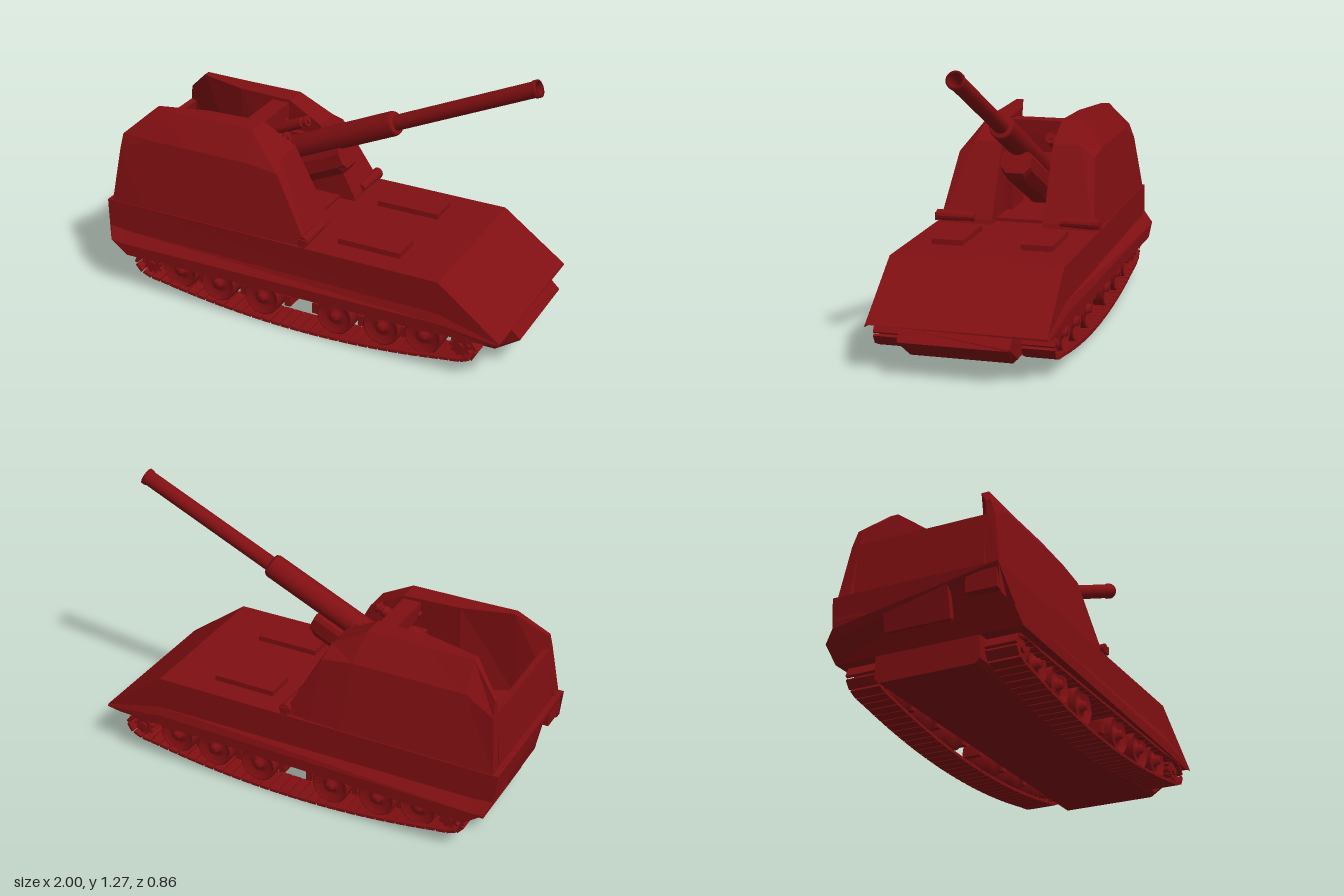
import * as THREE from 'three';

const paint = new THREE.MeshStandardMaterial({ color: 0x800f12, flatShading: true });
const smooth = new THREE.MeshStandardMaterial({ color: 0x800f12 });

function add(parent, name, geometry, x = 0, y = 0, z = 0, material = paint) {
  const mesh = new THREE.Mesh(geometry, material);
  mesh.name = name;
  mesh.position.set(x, y, z);
  parent.add(mesh);
  return mesh;
}
const box = (w, h, d) => new THREE.BoxGeometry(w, h, d);

// Skins closed rings of [x, y, z] points that advance along +x, with both ends capped.
function loft(rings) {
  const pos = [], n = rings[0].length, last = rings.length - 1;
  const tri = (...p) => p.forEach(v => pos.push(...v));
  for (let i = 0; i < last; i++) for (let j = 0; j < n; j++) {
    const k = (j + 1) % n, a = rings[i], b = rings[i + 1];
    tri(a[j], a[k], b[k]);
    tri(a[j], b[k], b[j]);
  }
  for (let j = 1; j < n - 1; j++) {
    tri(rings[0][0], rings[0][j + 1], rings[0][j]);
    tri(rings[last][0], rings[last][j], rings[last][j + 1]);
  }
  const g = new THREE.BufferGeometry();
  g.setAttribute('position', new THREE.Float32BufferAttribute(pos, 3));
  g.computeVertexNormals();
  return g;
}

// Half section listed from the top down on +z, mirrored to a full ring.
const mirrorRing = half => [...half, ...half.map(([x, y, z]) => [x, y, -z]).reverse()];

// Cylinder or turned profile of [radius, distance] lying along +x.
function turnedX(profile, sides = 20) {
  return new THREE.LatheGeometry(profile.map(p => new THREE.Vector2(...p)), sides).rotateZ(-Math.PI / 2);
}
const rod = (r, a, b, sides) => turnedX([[0, a], [r, a], [r, b], [0, b]], sides);

function buildHull(parent) {
  add(parent, 'upperHull', loft([
    [[-1, 0.43, 0.38], [-0.985, 0.30, 0.385], [-0.96, 0.25, 0.43], [-0.88, 0.19, 0.43]],
    [[-0.9, 0.43, 0.38], [-0.9, 0.29, 0.385], [-0.9, 0.245, 0.43], [-0.87, 0.19, 0.43]],
    [[0.67, 0.43, 0.38], [0.67, 0.28, 0.385], [0.67, 0.24, 0.4], [0.67, 0.19, 0.4]],
    [[0.965, 0.21, 0.385], [0.965, 0.205, 0.388], [0.965, 0.2, 0.39], [0.9, 0.19, 0.39]],
  ].map(mirrorRing)));
  // Tub between the tracks, ending in a wedge-shaped bow
  add(parent, 'lowerHull', loft([
    [[-0.88, 0.21, 0.24], [-0.88, 0.09, 0.24], [-0.88, 0.07, 0.22]],
    [[0.88, 0.21, 0.24], [0.88, 0.09, 0.24], [0.88, 0.07, 0.22]],
    [[0.955, 0.205, 0.24], [1, 0.163, 0.238], [1, 0.157, 0.235]],
  ].map(mirrorRing)));
  add(parent, 'rearDoor', box(0.03, 0.17, 0.3), -0.965, 0.33, 0).rotation.z = 0.2;
  for (const s of [1, -1]) {
    add(parent, 'hatch', box(0.3, 0.03, 0.14), 0.29, 0.44, s * 0.2);
    add(parent, 'rearStowageBox', box(0.05, 0.1, 0.14), -0.965, 0.375, s * 0.3);
  }
}

function buildTurret(parent) {
  // Tall side housings with an open channel between them that widens to the rear
  const rings = [
    [[-0.94, 0.75, 0.29], [-0.94, 0.75, 0.31], [-0.945, 0.68, 0.335], [-0.975, 0.43, 0.375], [-0.975, 0.43, 0.32]],
    [[-0.81, 0.87, 0.2], [-0.81, 0.87, 0.235], [-0.81, 0.75, 0.32], [-0.81, 0.43, 0.375], [-0.81, 0.43, 0.26]],
    [[-0.58, 0.87, 0.14], [-0.58, 0.87, 0.23], [-0.58, 0.75, 0.32], [-0.58, 0.43, 0.375], [-0.58, 0.43, 0.16]],
    [[-0.31, 0.87, 0.125], [-0.31, 0.87, 0.23], [-0.28, 0.75, 0.32], [-0.25, 0.43, 0.375], [-0.31, 0.43, 0.125]],
    [[-0.15, 0.78, 0.12], [-0.15, 0.78, 0.25], [-0.135, 0.73, 0.32], [-0.1, 0.43, 0.37], [-0.15, 0.43, 0.12]],
    [[0.025, 0.45, 0.12], [0.025, 0.45, 0.35], [0.027, 0.445, 0.36], [0.03, 0.43, 0.365], [0.03, 0.43, 0.12]],
  ];
  for (const s of [1, -1]) {
    add(parent, 'turretHousing', loft(s > 0 ? rings
      : rings.map(r => r.map(([x, y, z]) => [x, y, -z]).reverse())));
    // Hinge roller at the foot of the front slope
    const roller = new THREE.CylinderGeometry(0.026, 0.02, 0.18, 12).rotateX(s * Math.PI / 2);
    add(parent, 'hingeRoller', roller, 0.02, 0.46, s * 0.29);
    add(parent, 'hingeBracket', box(0.035, 0.035, 0.03), 0.02, 0.455, s * 0.372);
    add(parent, 'trunnionBracket', box(0.2, 0.3, 0.03), -0.33, 0.58, s * 0.11);
  }
  add(parent, 'rearPanel', box(0.03, 0.25, 0.6), -0.945, 0.555, 0).rotation.z = -0.1;
  add(parent, 'turretFloor', box(0.9, 0.02, 0.56), -0.5, 0.435, 0);
}

function buildGun(parent) {
  const gun = new THREE.Group();
  gun.name = 'gun';
  gun.position.set(-0.35, 0.645, 0);
  gun.rotation.z = 0.428;
  parent.add(gun);
  add(gun, 'sleeve', turnedX([[0, -0.1], [0.056, -0.1], [0.056, 0.69], [0.05, 0.703], [0, 0.703]]), 0, 0, 0);
  // Barrel with an open bore
  add(gun, 'barrel', turnedX([[0.035, 0.68], [0.035, 1.395], [0.039, 1.396], [0.039, 1.415],
    [0.028, 1.415], [0.028, 1.2], [0, 1.2]]), 0, 0, 0);
  add(gun, 'breech', box(0.16, 0.16, 0.14), -0.13, -0.01, 0);
  add(gun, 'breechRing', rod(0.06, -0.26, -0.2, 16));
  // Cradle under the sleeve, narrower along its lower edge
  add(gun, 'cradle', loft([-0.15, 0.37, 0.40].map((x, i) => mirrorRing([
    [x, -0.04, 0.06], [x, -0.06, 0.07], [x, i < 2 ? -0.12 : -0.11, 0.07], [x, i < 2 ? -0.16 : -0.14, 0.04],
  ]))));
  add(gun, 'yoke', box(0.085, 0.07, 0.24), 0.07, 0.165, 0).rotation.z = -0.428;
  for (const s of [1, -1]) {
    add(gun, 'recoilCylinder', turnedX([[0, -0.27], [0.026, -0.27], [0.026, 0.17], [0.019, 0.175],
      [0.019, 0.185], [0.026, 0.19], [0.026, 0.2], [0.012, 0.2], [0.012, 0.21], [0, 0.21]], 14), 0, 0.08, s * 0.095);
    add(gun, 'yokeArm', box(0.07, 0.15, 0.03), 0.05, 0.1, s * 0.105);
  }
}

function buildRunningGear(parent, s) {
  const gear = new THREE.Group();
  gear.name = s > 0 ? 'leftTrackUnit' : 'rightTrackUnit';
  gear.position.z = s * 0.32;
  parent.add(gear);
  const face = g => g.rotateX(s * Math.PI / 2);
  // Dished road wheels with hubs, following the sagging track
  const profile = [[0, -0.06], [0.087, -0.06], [0.087, 0.045], [0.078, 0.05], [0.055, 0.028],
    [0.024, 0.038], [0.02, 0.058], [0, 0.058]].map(p => new THREE.Vector2(...p));
  for (const [x, y] of [[-0.63, 0.138], [-0.43, 0.122], [-0.2, 0.112], [0.17, 0.112], [0.4, 0.122], [0.6, 0.135]])
    add(gear, 'roadWheel', face(new THREE.LatheGeometry(profile, 20)), x, y, 0);
  for (const x of [-0.53, -0.31, -0.08, 0.06, 0.29, 0.5])
    add(gear, 'suspensionArm', box(0.03, 0.05, 0.08), x, 0.11, -s * 0.02);
  for (const x of [-0.78, 0.78]) {
    const sprocket = new THREE.Group();
    sprocket.name = 'sprocket';
    sprocket.position.set(x, 0.14, 0);
    gear.add(sprocket);
    add(sprocket, 'sprocketDrum', face(new THREE.CylinderGeometry(0.04, 0.04, 0.11, 14)));
    add(sprocket, 'sprocketHub', face(new THREE.CylinderGeometry(0.018, 0.022, 0.13, 10)));
    for (let i = 0; i < 10; i++) {
      const a = i * Math.PI / 5;
      add(sprocket, 'sprocketTooth', box(0.02, 0.014, 0.1), Math.cos(a) * 0.042, Math.sin(a) * 0.042).rotation.z = a;
    }
  }
  // Track links spaced along a closed loop
  const pts = [];
  for (let i = -8; i <= 8; i++) pts.push(new THREE.Vector3(i / 10, 0.008 + 0.077 * (i / 8) ** 2, 0));
  const end = [[0.845, 0.115], [0.85, 0.155], [0.81, 0.187]];
  for (const [x, y] of end) pts.push(new THREE.Vector3(x, y, 0));
  for (let i = 3; i >= -3; i--) pts.push(new THREE.Vector3(i / 5, 0.185, 0));
  for (const [x, y] of end.slice().reverse()) pts.push(new THREE.Vector3(-x, y, 0));
  const loop = new THREE.CatmullRomCurve3(pts, true);
  const count = 72, step = loop.getLength() / count;
  for (let i = 0; i < count; i++) {
    const p = loop.getPointAt(i / count), t = loop.getTangentAt(i / count);
    add(gear, 'trackLink', box(step * 0.88, 0.014, 0.14), p.x, p.y, 0).rotation.z = Math.atan2(t.y, t.x);
  }
}

export function createModel() {
  const model = new THREE.Group();
  model.name = 'selfPropelledGun';
  buildHull(model);
  buildTurret(model);
  buildGun(model);
  for (const s of [1, -1]) buildRunningGear(model, s);
  // Round parts are shaded smoothly
  model.traverse(o => { if (['roadWheel', 'barrel', 'sleeve'].includes(o.name)) o.material = smooth; });
  return model;
}
